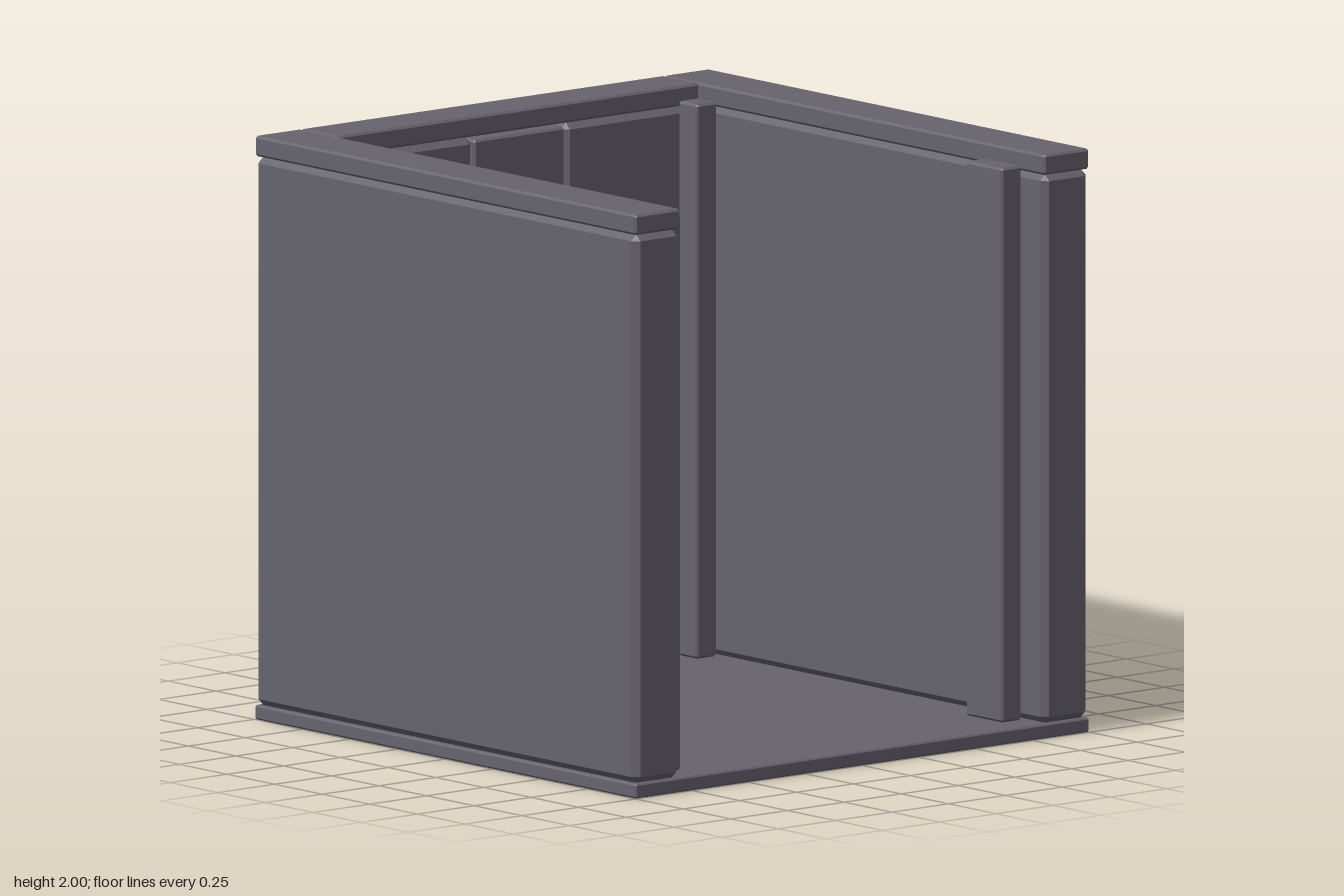
import * as THREE from 'three';
import { ConvexGeometry } from 'three/addons/geometries/ConvexGeometry.js';

// Box with flat chamfered edges, given by its limits on each axis
function chamferBox(x, y, z, c) {
  const lim = [x, y, z];
  const center = lim.map(([a, b]) => (a + b) / 2);
  const half = lim.map(([a, b]) => (b - a) / 2);
  const points = [];
  for (const sx of [-1, 1]) for (const sy of [-1, 1]) for (const sz of [-1, 1]) {
    const s = [sx, sy, sz];
    for (let full = 0; full < 3; full++) {
      const p = s.map((v, i) => center[i] + v * (half[i] - (i === full ? 0 : c)));
      points.push(new THREE.Vector3(...p));
    }
  }
  return new ConvexGeometry(points);
}

export function createModel() {
  const group = new THREE.Group();
  group.name = 'openRoom';
  const stone = new THREE.MeshStandardMaterial({ color: 0x66636d });
  stone.name = 'grey stone';

  const add = (name, x, y, z, c) => {
    const mesh = new THREE.Mesh(chamferBox(x, y, z, c), stone);
    mesh.name = name;
    group.add(mesh);
  };
  // Mirrors a part's x limits to the other side
  const addPair = (name, [a, b], y, z, c) => {
    add(name + 'Left', [a, b], y, z, c);
    add(name + 'Right', [-b, -a], y, z, c);
  };

  // Floor slab
  add('floor', [-1, 1], [0, 0.05], [-1, 1], 0.006);

  // Side walls with their capping beams
  addPair('sideWall', [0.8, 1], [0.05, 1.93], [-1, 1], 0.022);
  addPair('sideCap', [0.8, 1], [1.93, 2], [-1, 1], 0.008);

  // Back wall: two outer panels and a cap between the side caps
  addPair('backPanel', [0.2, 0.8], [0.05, 1.93], [-1, -0.8], 0.022);
  add('backCap', [-0.8, 0.8], [1.93, 2], [-1, -0.81], 0.008);

  // Centre of the back wall, with a low alcove and a step inside it
  add('alcoveBack', [-0.2, 0.2], [0.05, 1.92], [-1, -0.9], 0.008);
  add('centrePanel', [-0.2, 0.2], [0.6, 1.92], [-0.98, -0.8], 0.008);
  add('alcoveStep', [-0.2, 0.2], [0.05, 0.295], [-0.95, -0.85], 0.002);

  // Corner posts inside the room
  addPair('frontPost', [0.705, 0.795], [0.05, 1.95], [0.7, 0.89], 0.008);
  addPair('backPost', [0.705, 0.795], [0.05, 1.95], [-0.81, -0.71], 0.008);

  // Wall peg
  add('peg', [-0.81, -0.605], [1.69, 1.715], [-0.015, 0.01], 0.004);

  return group;
}
